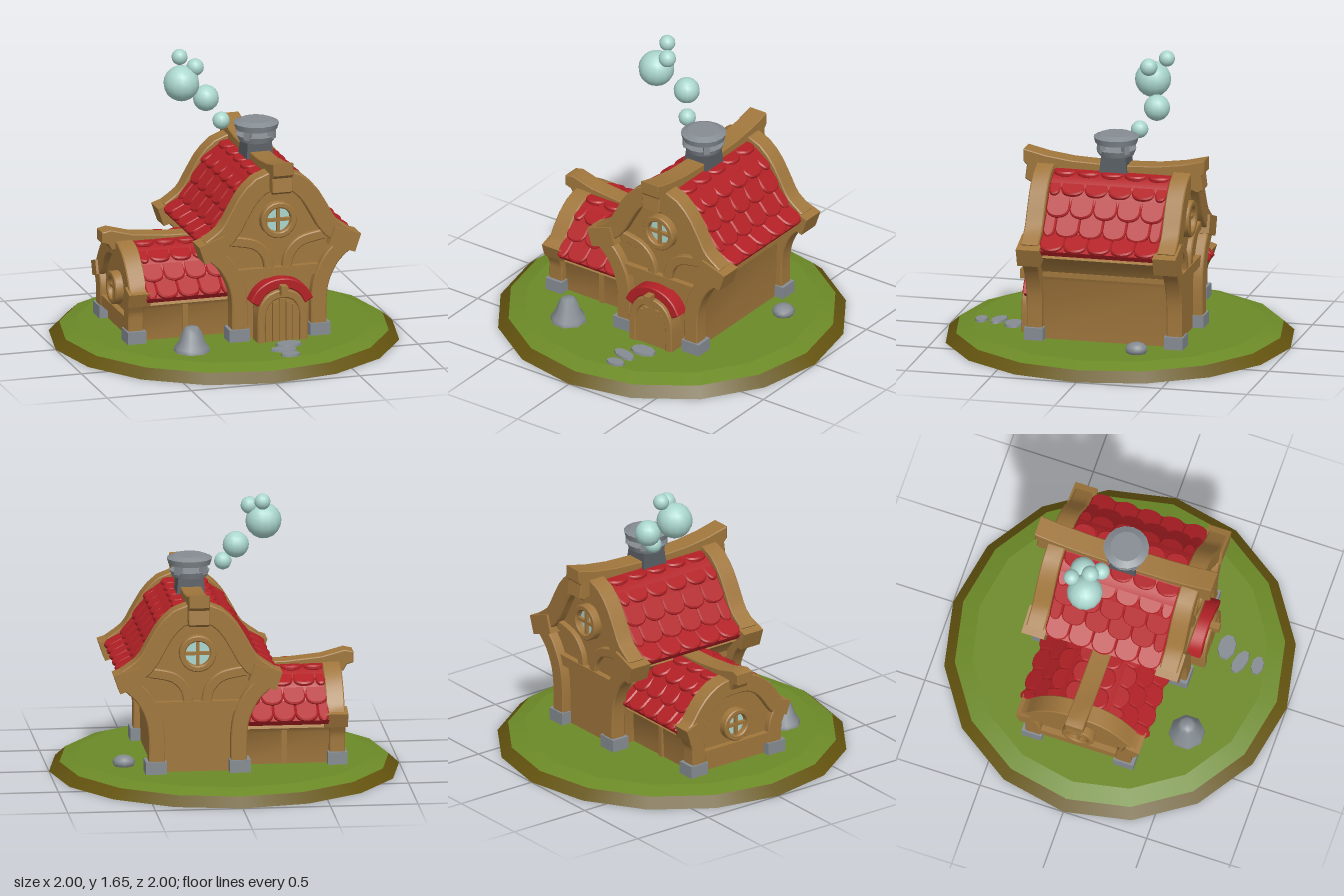
import * as THREE from 'three';
import { toCreasedNormals } from 'three/addons/utils/BufferGeometryUtils.js';

const material = (name, color) => {
  const m = new THREE.MeshStandardMaterial({ color });
  m.name = name;
  return m;
};
const V2 = (p) => new THREE.Vector2(p[0], p[1]);
const flip = (pts) => pts.map(([x, y]) => [-x, y]);
const bothSides = (pts) => [...flip(pts).reverse(), ...pts.slice(1)];

export function createModel() {
  const wood = material('wood', 0xa0763c);
  const red = material('red tile', 0xb22025);
  const stone = material('stone', 0x858c92);
  const darkStone = material('dark stone', 0x565b60);
  const grass = material('grass', 0x6c8a27);
  const earth = material('earth', 0x64540f);
  const pale = material('pale blue', 0xaad6ce);

  const model = new THREE.Group();
  model.name = 'cottage';

  function add(parent, name, geo, mat, x = 0, y = 0, z = 0) {
    const m = new THREE.Mesh(geo, mat);
    m.name = name;
    m.position.set(x, y, z);
    parent.add(m);
    return m;
  }
  const box = (parent, name, mat, w, h, d, x, y, z) =>
    add(parent, name, new THREE.BoxGeometry(w, h, d), mat, x, y, z);
  // extrusion centred on z
  function slab(shape, depth, bevel = 0) {
    const g = new THREE.ExtrudeGeometry(shape, { depth: depth - 2 * bevel, curveSegments: 10,
      bevelEnabled: bevel > 0, bevelSize: bevel, bevelThickness: bevel, bevelSegments: 1 });
    g.translate(0, 0, -depth / 2 + bevel);
    return toCreasedNormals(g, 0.6);
  }
  // curved strip of constant width along a smooth line
  function band(parent, name, pts, width, depth, z, mat) {
    const curve = new THREE.SplineCurve(pts.map(V2));
    const outer = [], inner = [];
    for (let i = 0; i <= 20; i++) {
      const p = curve.getPointAt(i / 20), t = curve.getTangentAt(i / 20);
      const n = new THREE.Vector2(-t.y, t.x).multiplyScalar(width / 2);
      outer.push(p.clone().add(n));
      inner.unshift(p.clone().sub(n));
    }
    return add(parent, name, slab(new THREE.Shape([...outer, ...inner]), depth, 0.006), mat, 0, 0, z);
  }

  // roof tile: square top, rounded lower edge
  function tileGeometry(w, l) {
    const h = w / 2 - 0.008, s = new THREE.Shape();
    s.moveTo(-h, 0);
    s.lineTo(h, 0);
    s.lineTo(h, l * 0.68);
    s.quadraticCurveTo(h * 0.9, l * 0.95, 0, l - 0.006);
    s.quadraticCurveTo(-h * 0.9, l * 0.95, -h, l * 0.68);
    return slab(s, 0.03, 0.008);
  }

  function tiles(parent, pts, rows, z0, z1, width) {
    const group = new THREE.Group();
    group.name = 'roofTiles';
    parent.add(group);
    const curve = new THREE.SplineCurve(pts.map(V2));
    const length = curve.getLength() / rows + 0.045;
    const full = tileGeometry(width, length), half = tileGeometry(width / 2, length);
    const count = Math.round((z1 - z0) / width);
    for (const side of [-1, 1]) for (let r = 0; r < rows; r++) {
      const a = curve.getPointAt(Math.max(0, (r - 0.25) / rows));
      const b = curve.getPointAt((r + 1) / rows);
      const t = b.clone().sub(a).normalize();
      b.add(new THREE.Vector2(-t.y, t.x).multiplyScalar(0.025));
      const T = new THREE.Vector3(side * (b.x - a.x), b.y - a.y, 0).normalize();
      const N = new THREE.Vector3(-side * T.y, side * T.x, 0);
      const X = new THREE.Vector3().crossVectors(T, N);
      const odd = r % 2;
      for (let i = 0; i < count + odd; i++) {
        const end = odd && (i === 0 || i === count);
        let z = z0 + width * (i + (odd ? 0 : 0.5));
        if (end) z += (i === 0 ? 1 : -1) * width / 4;
        const m = add(group, 'roofTile', end ? half : full, red);
        m.quaternion.setFromRotationMatrix(new THREE.Matrix4().makeBasis(X, T, N));
        m.position.set(side * b.x, b.y, z).addScaledVector(T, -length + 0.01);
      }
    }
  }

  // round window facing +z or -z
  function roundWindow(parent, y, z, dir, r) {
    const g = new THREE.Group();
    g.name = 'roundWindow';
    g.position.set(0, y, z);
    if (dir < 0) g.rotation.y = Math.PI;
    parent.add(g);
    const ring = new THREE.Shape().absarc(0, 0, r, 0, Math.PI * 2);
    ring.holes.push(new THREE.Path().absarc(0, 0, r * 0.78, 0, Math.PI * 2, true));
    add(g, 'windowFrame', slab(ring, 0.06, 0.006), wood, 0, 0, 0.02);
    add(g, 'windowGlass', new THREE.CircleGeometry(r * 0.85, 20), pale, 0, 0, 0.012);
    box(g, 'windowBar', wood, r * 1.7, 0.018, 0.02, 0, 0, 0.025);
    box(g, 'windowBar', wood, 0.018, r * 1.7, 0.02, 0, 0, 0.025);
  }

  // ridge beam with upswept ends, given as side profile in (z, y)
  function ridgeBeam(parent, pts, width) {
    const g = slab(new THREE.Shape(pts.map(V2)), width, 0.005);
    g.rotateY(-Math.PI / 2);
    add(parent, 'ridgeBeam', g, wood);
  }

  // walls, roof, gable arches, posts and stone feet of one building
  function building(name, o) {
    const g = new THREE.Group();
    g.name = name;
    model.add(g);
    const roofLine = new THREE.SplineCurve(o.roof.map(V2)).getPoints(12)
      .map((p) => [p.x * 0.94, p.y - 0.04]).reverse();
    const half = [...o.wall, ...roofLine];
    const outline = [...half, ...flip(half).reverse().slice(1)];
    add(g, 'walls', slab(new THREE.Shape(outline.map(V2)), o.z1 - o.z0), wood, 0, 0, (o.z0 + o.z1) / 2);
    band(g, 'roofUnderlay', bothSides(o.roof), 0.025, o.t1 - o.t0, (o.t0 + o.t1) / 2, red);
    tiles(g, o.roof, o.rows, o.t0, o.t1, o.tile);
    for (const dir of o.ends) {
      const z = dir * o.gableZ;
      band(g, 'gableArch', bothSides(o.arch), o.archWidth, 0.105, z, wood);
      for (const side of [-1, 1]) {
        const mir = (pts) => (side < 0 ? flip(pts) : pts);
        band(g, 'cornerPost', mir(o.post), 0.08, 0.09, z + dir * 0.01, wood);
        const [ex, ey, ew, eh] = o.eave;
        box(g, 'eaveBlock', wood, ew, eh, 0.135, side * ex, ey, z).rotation.z = -side * 0.33;
        box(g, 'stoneFoot', stone, 0.12, 0.075, 0.11, side * o.footX, 0.12, z + dir * 0.01);
        if (o.brace) band(g, 'curvedBrace', mir(o.brace), 0.045, 0.05, dir * (o.z1 + 0.005), wood);
      }
      box(g, 'crossBeam', wood, o.footX * 2, 0.06, 0.06, 0, o.beamY, dir * (o.z1 + 0.005));
      roundWindow(g, o.windowY, dir * o.z1, dir, o.windowR);
    }
    return g;
  }

  // ground disc
  add(model, 'earthRim', new THREE.CylinderGeometry(0.94, 1, 0.055, 16), earth, 0, 0.0275, 0);
  add(model, 'grass', new THREE.CylinderGeometry(0.84, 0.94, 0.03, 16), grass, 0, 0.07, 0);

  // main house
  const main = building('mainHouse', {
    wall: [[0.24, 0.08], [0.25, 0.43], [0.28, 0.5], [0.34, 0.57]],
    roof: [[0, 1.03], [0.09, 1.015], [0.18, 0.95], [0.25, 0.84], [0.31, 0.73], [0.43, 0.645]],
    arch: [[0, 1.015], [0.1, 0.995], [0.18, 0.92], [0.24, 0.82], [0.3, 0.72], [0.4, 0.645]],
    post: [[0.235, 0.12], [0.235, 0.3], [0.255, 0.42], [0.31, 0.53], [0.38, 0.6]],
    brace: [[0.05, 0.48], [0.07, 0.57], [0.14, 0.64], [0.27, 0.67]],
    archWidth: 0.1, eave: [0.385, 0.64, 0.165, 0.11], footX: 0.24, beamY: 0.47,
    windowY: 0.78, windowR: 0.1, ends: [1, -1], gableZ: 0.4,
    z0: -0.4, z1: 0.4, t0: -0.345, t1: 0.345, tile: 0.138, rows: 5,
  });
  main.position.set(0.2, 0, -0.03);
  const beamHalf = [[0, 1.075], [0.25, 1.085], [0.4, 1.105], [0.525, 1.135], [0.525, 1.07], [0.505, 1.05],
    [0.515, 0.97], [0.49, 0.955], [0.45, 0.97], [0.45, 1.02], [0, 1.02]];
  ridgeBeam(main, [...beamHalf, ...flip(beamHalf).reverse().slice(1, -1)], 0.12);
  for (const side of [-1, 1]) box(main, 'sideBeam', wood, 0.03, 0.03, 0.72, side * 0.265, 0.475, 0);

  // side wing, its ridge running out to the right
  const wing = building('sideWing', {
    wall: [[0.27, 0.08], [0.28, 0.27], [0.3, 0.3]],
    roof: [[0, 0.595], [0.09, 0.585], [0.18, 0.535], [0.25, 0.46], [0.3, 0.39], [0.355, 0.345]],
    arch: [[0, 0.57], [0.1, 0.56], [0.18, 0.51], [0.24, 0.44], [0.28, 0.38], [0.32, 0.35]],
    post: [[0.27, 0.12], [0.27, 0.2], [0.275, 0.27], [0.3, 0.33]],
    archWidth: 0.09, eave: [0.315, 0.36, 0.085, 0.085], footX: 0.275, beamY: 0.19,
    windowY: 0.33, windowR: 0.09, ends: [1], gableZ: 0.6,
    z0: 0.02, z1: 0.615, t0: 0.05, t1: 0.56, tile: 0.1275, rows: 4,
  });
  wing.position.z = -0.03;
  wing.rotation.y = -Math.PI / 2;
  ridgeBeam(wing, [[0.1, 0.57], [0.1, 0.62], [0.35, 0.625], [0.55, 0.645], [0.68, 0.68], [0.725, 0.67],
    [0.725, 0.615], [0.69, 0.605], [0.67, 0.57]], 0.11);
  for (const side of [-1, 1]) box(wing, 'wallStud', wood, 0.02, 0.24, 0.03, side * 0.28, 0.21, 0.31);

  // arched doorway
  const door = new THREE.Group();
  door.name = 'doorway';
  main.add(door);
  const arched = (w, base, spring, rise) => {
    const s = new THREE.Shape();
    s.moveTo(w, base);
    s.lineTo(w, spring);
    s.absellipse(0, spring, w, rise, 0, Math.PI, false, 0);
    s.lineTo(-w, base);
    return s;
  };
  add(door, 'porchWall', slab(arched(0.14, 0.08, 0.29, 0.11), 0.11), wood, 0, 0, 0.44);
  band(door, 'doorFrame', bothSides([[0, 0.365], [0.07, 0.345], [0.112, 0.29], [0.125, 0.22], [0.125, 0.085]]),
    0.035, 0.1, 0.47, wood);
  [-0.08, -0.04, 0, 0.04, 0.08].forEach((x) => {
    const h = 0.25 - Math.abs(x) * 0.5;
    box(door, 'doorPlank', wood, 0.034, h, 0.02, x, 0.085 + h / 2, 0.5);
  });
  band(door, 'doorRoof', bothSides([[0, 0.422], [0.07, 0.408], [0.125, 0.37], [0.158, 0.315]]), 0.045, 0.09, 0.46, red);
  box(door, 'doorKeystone', wood, 0.04, 0.055, 0.15, 0, 0.392, 0.485);

  // chimney
  const chimney = new THREE.Group();
  chimney.name = 'chimney';
  main.add(chimney);
  const stack = new THREE.CylinderGeometry(0.1, 0.125, 0.19, 4).toNonIndexed();
  stack.computeVertexNormals();
  add(chimney, 'chimneyStack', stack, darkStone, 0, 1.05, 0).rotation.y = Math.PI / 4;
  add(chimney, 'chimneyTray', new THREE.CylinderGeometry(0.115, 0.1, 0.035, 16), stone, 0, 1.15, 0);
  for (let i = 0; i < 4; i++) {
    const a = Math.PI / 4 + i * Math.PI / 2;
    box(chimney, 'chimneyPillar', stone, 0.035, 0.06, 0.035, 0.1 * Math.cos(a), 1.185, 0.1 * Math.sin(a)).rotation.y = -a;
  }
  add(chimney, 'chimneyLid', new THREE.CylinderGeometry(0.13, 0.12, 0.035, 16), stone, 0, 1.22, 0);
  add(chimney, 'chimneyLidTop', new THREE.CylinderGeometry(0.09, 0.13, 0.018, 16), stone, 0, 1.246, 0);

  // smoke puffs
  [[0.02, 1.235, -0.12, 0.05], [-0.045, 1.35, -0.205, 0.075], [-0.21, 1.47, -0.14, 0.103],
    [-0.13, 1.56, -0.135, 0.05], [-0.195, 1.6, -0.225, 0.046]].forEach(([x, y, z, r]) =>
    add(model, 'smokePuff', new THREE.SphereGeometry(r, 14, 10), pale, x, y, z));

  // rocks and stepping stones
  const rock = new THREE.LatheGeometry([[0.105, 0], [0.1, 0.025], [0.075, 0.06], [0.055, 0.12], [0.035, 0.145], [0, 0.148]]
    .map(V2), 8);
  rock.rotateY(Math.PI / 8);
  add(model, 'tallRock', rock, stone, -0.35, 0.083, 0.52);
  add(model, 'smallRock', new THREE.IcosahedronGeometry(0.065, 1), stone, 0.6, 0.105, -0.25).scale.set(1, 0.65, 1);
  [[0.21, 0.57, 0.15, 0.1, 0.05], [0.15, 0.67, 0.15, 0.075, -0.25], [0.16, 0.77, 0.11, 0.07, 0.05]]
    .forEach(([x, z, w, d, turn]) => {
      const s = new THREE.CylinderGeometry(0.5, 0.54, 0.02, 8);
      s.rotateY(Math.PI / 8);
      const m = add(model, 'steppingStone', s, stone, x, 0.089, z);
      m.scale.set(w, 1, d);
      m.rotation.y = turn;
    });
  return model;
}
